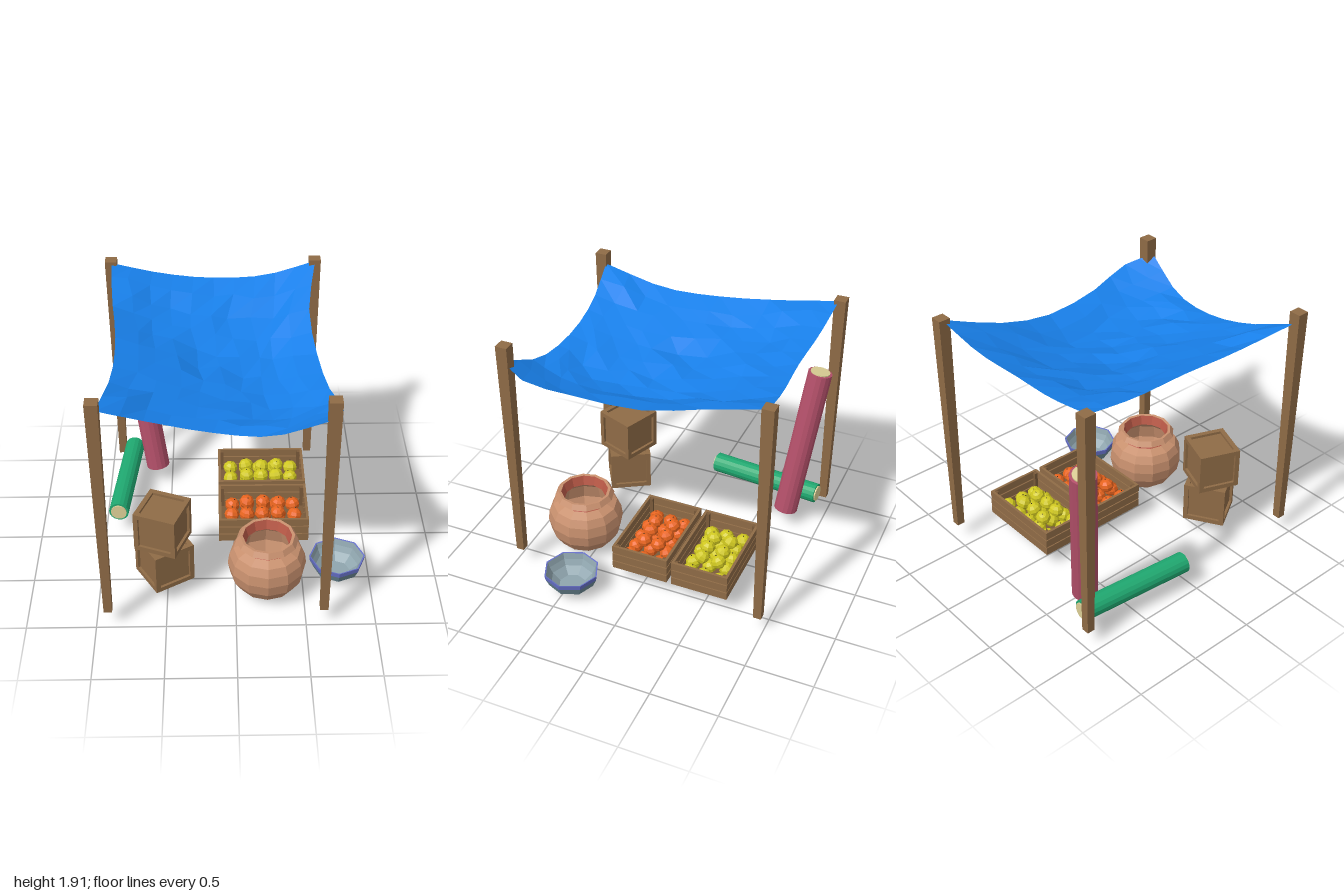
import * as THREE from 'three';

const V = (x, y, z) => new THREE.Vector3(x, y, z);
const paint = (color) => new THREE.MeshStandardMaterial({ color, flatShading: true, side: THREE.DoubleSide });
const mats = {
  wood: paint(0x8f6b46), darkWood: paint(0x7a5a3a), cloth: paint(0x1880ea), red: paint(0xb4506a),
  green: paint(0x1fa870), cream: paint(0xdccf96), clay: paint(0xc8906e), clayRed: paint(0xb85846),
  bowl: paint(0x6c8a96), bowlRim: paint(0x6670c8), bowlInside: paint(0x8fa5ae),
  orange: paint(0xe8641e), yellow: paint(0xd0c820), stem: paint(0x3c3020),
};

let seed = 7;
const rand = () => (seed = (seed * 16807) % 2147483647) / 2147483647;
const jitter = (amount) => (rand() - 0.5) * amount;

function add(parent, name, geometry, material, x = 0, y = 0, z = 0) {
  const mesh = new THREE.Mesh(geometry, material);
  mesh.name = name;
  mesh.position.set(x, y, z);
  parent.add(mesh);
  return mesh;
}

function group(parent, name, x, y, z) {
  const g = new THREE.Group();
  g.name = name;
  g.position.set(x, y, z);
  parent.add(g);
  return g;
}

const box = (parent, name, size, pos, mat = mats.wood) =>
  add(parent, name, new THREE.BoxGeometry(...size), mat, ...pos);

const lathe = (parent, name, profile, sides, mat) =>
  add(parent, name, new THREE.LatheGeometry(profile.map((p) => new THREE.Vector2(...p)), sides), mat);

// Sagging sheet blended between four edge curves, with small creases
function canopy(parent) {
  const curve = (pts) => new THREE.CatmullRomCurve3(pts.map((p) => V(...p)));
  const BL = [-0.91, 1.9, -0.94], BR = [0.63, 1.9, -0.95], FL = [-0.9, 1.83, 0.93], FR = [0.6, 1.78, 0.99];
  const back = curve([BL, [-0.52, 1.82, -0.92], [-0.14, 1.79, -0.9], [0.25, 1.8, -0.92], BR]);
  const front = curve([FL, [-0.52, 1.69, 0.87], [-0.15, 1.61, 0.87], [0.23, 1.61, 0.915], FR]);
  const left = curve([BL, [-0.88, 1.83, -0.52], [-0.83, 1.785, -0.05], [-0.83, 1.765, 0.4], FL]);
  const right = curve([BR, [0.56, 1.74, -0.5], [0.59, 1.63, -0.05], [0.64, 1.65, 0.43], [0.7, 1.72, 0.79], FR]);
  const n = 10;
  const geo = new THREE.PlaneGeometry(1, 1, n, n);
  const pos = geo.attributes.position;
  const [a, b, c, d] = [BL, BR, FL, FR].map((p) => V(...p));
  for (let j = 0; j <= n; j++) {
    for (let i = 0; i <= n; i++) {
      const u = i / n, v = j / n;
      const p = V(0, 0, 0)
        .addScaledVector(back.getPoint(u), 1 - v).addScaledVector(front.getPoint(u), v)
        .addScaledVector(left.getPoint(v), 1 - u).addScaledVector(right.getPoint(v), u)
        .addScaledVector(a, -(1 - u) * (1 - v)).addScaledVector(b, -u * (1 - v))
        .addScaledVector(c, -(1 - u) * v).addScaledVector(d, -u * v);
      if (i > 0 && j > 0 && i < n && j < n) {
        const sag = 0.015 * u ** 3 * Math.sin(Math.PI * v);
        p.add(V(jitter(0.06), 0.012 - sag + jitter(0.04), jitter(0.06)));
      }
      pos.setXYZ(j * (n + 1) + i, p.x, p.y, p.z);
    }
  }
  geo.computeVertexNormals();
  add(parent, 'canopy', geo, mats.cloth);
}

// Cloth roll between two points, with the paler core showing at both ends
function roll(parent, name, from, to, radius, mat) {
  const dir = to.clone().sub(from), len = dir.length();
  const g = group(parent, name, ...from.clone().add(to).multiplyScalar(0.5));
  g.quaternion.setFromUnitVectors(V(0, 1, 0), dir.normalize());
  add(g, 'rolledCloth', new THREE.CylinderGeometry(radius, radius, len, 16), mat);
  add(g, 'rollCore', new THREE.CylinderGeometry(radius * 0.8, radius * 0.8, len + 0.02, 16), mats.cream);
}

// Closed crate: recessed panels inside a frame of twelve bars
function closedCrate(parent, name, x, y, z, turn) {
  const g = group(parent, name, x, y, z);
  g.rotation.y = turn;
  const s = 0.315, w = 0.035, o = (s - w) / 2;
  box(g, 'panels', [s - 0.04, s - 0.04, s - 0.04], [0, 0, 0]);
  for (const p of [-o, o]) {
    for (const q of [-o, o]) {
      box(g, 'uprightBar', [w, s, w], [p, 0, q]);
      box(g, 'sideBar', [s - 2 * w, w, w], [0, p, q]);
      box(g, 'depthBar', [w, w, s - 2 * w], [p, q, 0]);
    }
  }
}

// Open slatted crate with a layer of fruit and a small pile on top
function fruitCrate(parent, name, z, fruitMat) {
  const g = group(parent, name, 0.222, 0.135, z);
  const L = 0.68, W = 0.437, t = 0.02;
  box(g, 'crateFloor', [L - 0.01, 0.02, W - 0.01], [0, 0.011, 0], mats.darkWood);
  for (let k = 0; k < 3; k++) {
    const y = 0.031 + k * 0.07;
    for (const s of [-1, 1]) {
      box(g, 'longSlat', [L, 0.061, t], [0, y, s * (W - t) / 2]);
      box(g, 'endSlat', [t, 0.061, W - 2 * t], [s * (L - t) / 2, y, 0]);
    }
  }
  for (const sx of [-1, 1]) {
    for (const sz of [-1, 1]) {
      box(g, 'cornerPost', [0.025, 0.19, 0.025], [sx * (L / 2 - 0.032), 0.1, sz * (W / 2 - 0.032)], mats.darkWood);
    }
  }
  const fruit = (x, y, fz) => {
    const f = group(g, 'fruit', x + jitter(0.02), y, fz + jitter(0.02));
    f.rotation.set(jitter(0.8), rand() * 6, jitter(0.8));
    add(f, 'fruitBody', new THREE.SphereGeometry(0.058, 8, 6), fruitMat).scale.y = 0.92;
    add(f, 'fruitStem', new THREE.CylinderGeometry(0.004, 0.004, 0.01, 5), mats.stem, 0, 0.053, 0);
  };
  for (let i = 0; i < 5; i++) for (let j = -1; j <= 1; j++) fruit(-0.236 + i * 0.118, 0.08, j * 0.122);
  for (let i = 0; i < 3; i++) for (const j of [-1, 1]) fruit(-0.12 + i * 0.12, 0.145, j * 0.065);
}

export function createModel() {
  const model = new THREE.Group();
  model.name = 'marketStall';

  // Tapered square posts
  for (const x of [-0.912, 0.626]) {
    for (const z of [-0.957, 0.957]) {
      add(model, 'post', new THREE.CylinderGeometry(0.062, 0.042, 1.785, 4, 1, false, Math.PI / 4), mats.wood, x, 1.0275, z);
    }
  }
  canopy(model);

  roll(model, 'leaningRoll', V(-0.612, 0.15, -0.737), V(-0.785, 1.347, -0.88), 0.093, mats.red);
  roll(model, 'lyingRoll', V(-0.892, 0.213, -0.045), V(-0.807, 0.213, -0.925), 0.077, mats.green);

  closedCrate(model, 'lowerCrate', -0.516, 0.3, 0.585, 0.54);
  closedCrate(model, 'upperCrate', -0.52, 0.615, 0.585, -0.37);

  fruitCrate(model, 'orangeCrate', 0.003, mats.orange);
  fruitCrate(model, 'yellowCrate', -0.47, mats.yellow);

  // Clay pot with flared rim and red neck
  const pot = group(model, 'pot', 0.23, 0, 0.607);
  lathe(pot, 'potBody', [[0, 0.005], [0.12, 0.005], [0.21, 0.08], [0.268, 0.17], [0.286, 0.26], [0.275, 0.34], [0.245, 0.4], [0.18, 0.432]], 12, mats.clay);
  lathe(pot, 'potNeck', [[0.18, 0.432], [0.175, 0.44], [0.205, 0.474]], 12, mats.clayRed);
  lathe(pot, 'potRim', [[0.205, 0.474], [0.226, 0.476], [0.2, 0.515], [0.178, 0.512]], 12, mats.clay);
  lathe(pot, 'neckInside', [[0.178, 0.512], [0.155, 0.44]], 12, mats.clayRed);
  lathe(pot, 'potInside', [[0.155, 0.44], [0.22, 0.38], [0.25, 0.26], [0.19, 0.1], [0, 0.04]], 12, mats.clay);

  // Faceted bowl
  const bowl = group(model, 'bowl', 0.759, 0, 0.465);
  lathe(bowl, 'bowlOutside', [[0, 0.028], [0.105, 0.028], [0.175, 0.085], [0.202, 0.148]], 8, mats.bowl);
  lathe(bowl, 'bowlRim', [[0.202, 0.148], [0.208, 0.187], [0.197, 0.185]], 8, mats.bowlRim);
  lathe(bowl, 'bowlInside', [[0.197, 0.185], [0.184, 0.14], [0.16, 0.095], [0.1, 0.045], [0, 0.045]], 8, mats.bowlInside);

  return model;
}
